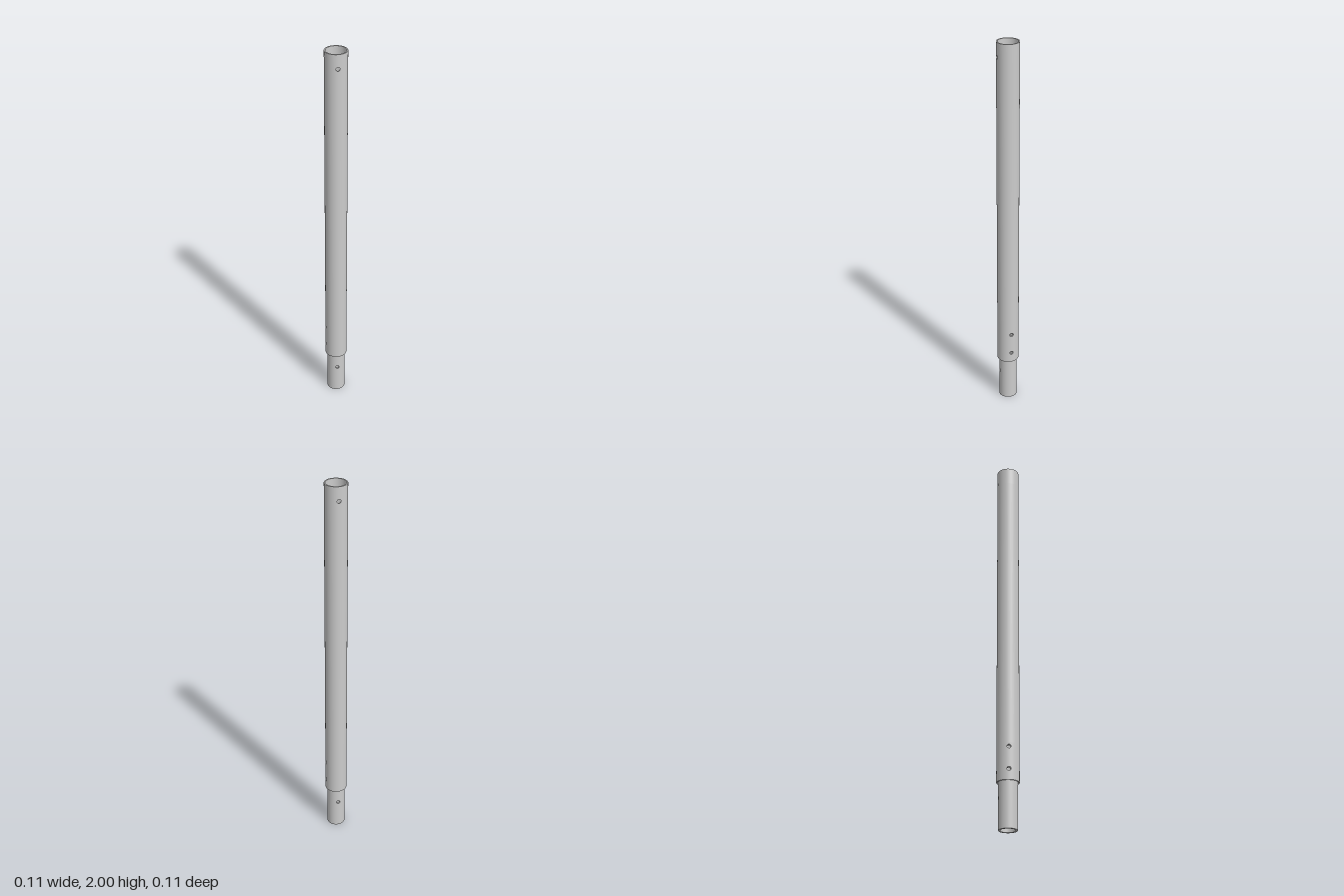
import * as THREE from 'three';
import { mergeGeometries } from 'three/addons/utils/BufferGeometryUtils.js';
import { ParametricGeometry } from 'three/addons/geometries/ParametricGeometry.js';

const SEGMENTS = 48;              // facets around a full tube
const HOLE_R = 0.01;              // bolt hole radius
const BAND = 0.02;                // half height of the band around a hole
const PATCH = Math.PI / 8;        // half angle of the patch around a hole
const clamp = THREE.MathUtils.clamp;

// Point on a cylinder of radius r; angle 0 faces +z
const onCylinder = (r, angle, y, p) => p.set(r * Math.sin(angle), y, r * Math.cos(angle));

// Plain piece of wall; dir +1 faces outward, -1 inward
function wall(r, dir, a0, a1, y0, y1) {
  const slices = Math.round((a1 - a0) / (2 * Math.PI) * SEGMENTS);
  return new ParametricGeometry((u, v, p) => {
    const k = dir > 0 ? u : 1 - u;
    onCylinder(r, a0 + (a1 - a0) * k, y0 + (y1 - y0) * v, p);
  }, slices, 1);
}

// Square patch of wall with a round hole in the middle
function holePatch(r, dir, angle, y) {
  return new ParametricGeometry((u, v, p) => {
    const t = -dir * u * 2 * Math.PI;
    const c = Math.cos(t), s = Math.sin(t);
    const edge = w => clamp(Math.asin(clamp(w, -1, 1)) * 4 / Math.PI, -1, 1);
    const da = THREE.MathUtils.lerp(Math.asin(HOLE_R * c / r), PATCH * edge(c), v);
    const dy = THREE.MathUtils.lerp(HOLE_R * s, BAND * edge(s), v);
    onCylinder(r, angle + da, y + dy, p);
  }, 24, 3);
}

// Straight bore joining the outer and inner wall
function bore(outer, inner, angle, y) {
  return new ParametricGeometry((u, v, p) => {
    const t = u * 2 * Math.PI;
    const r = THREE.MathUtils.lerp(outer, inner, v);
    onCylinder(r, angle + Math.asin(HOLE_R * Math.cos(t) / r), y + HOLE_R * Math.sin(t), p);
  }, 24, 1);
}

// Hollow tube with cross-drilled holes, listed from bottom to top
function drilledTube(name, outer, inner, y0, y1, holes) {
  const parts = [];
  for (const [r, dir] of [[outer, 1], [inner, -1]]) {
    let y = y0;
    for (const hole of holes) {
      parts.push(wall(r, dir, 0, 2 * Math.PI, y, hole.y - BAND));
      for (const a of [hole.angle, hole.angle + Math.PI]) {
        parts.push(holePatch(r, dir, a, hole.y));
        parts.push(wall(r, dir, a + PATCH, a + Math.PI - PATCH, hole.y - BAND, hole.y + BAND));
      }
      y = hole.y + BAND;
    }
    parts.push(wall(r, dir, 0, 2 * Math.PI, y, y1));
  }
  for (const hole of holes) {
    for (const a of [hole.angle, hole.angle + Math.PI]) parts.push(bore(outer, inner, a, hole.y));
  }
  // End rims
  parts.push(new THREE.RingGeometry(inner, outer, SEGMENTS).rotateX(-Math.PI / 2).translate(0, y1, 0));
  parts.push(new THREE.RingGeometry(inner, outer, SEGMENTS).rotateX(Math.PI / 2).translate(0, y0, 0));

  const material = new THREE.MeshStandardMaterial({ color: 0xcccccc });
  const mesh = new THREE.Mesh(mergeGeometries(parts), material);
  mesh.name = name;
  return mesh;
}

export function createModel() {
  const group = new THREE.Group();
  group.name = 'tubePole';
  const alongZ = y => ({ y, angle: 0 });
  const alongX = y => ({ y, angle: Math.PI / 2 });

  // Long main tube
  group.add(drilledTube('mainTube', 0.057, 0.0505, 0.235, 2,
    [alongX(0.29), alongX(0.403), alongZ(1.927)]));

  // Narrower spigot sleeved into its lower end
  group.add(drilledTube('spigotTube', 0.0475, 0.037, 0, 0.47,
    [alongZ(0.155), alongX(0.29), alongX(0.403)]));

  return group;
}
